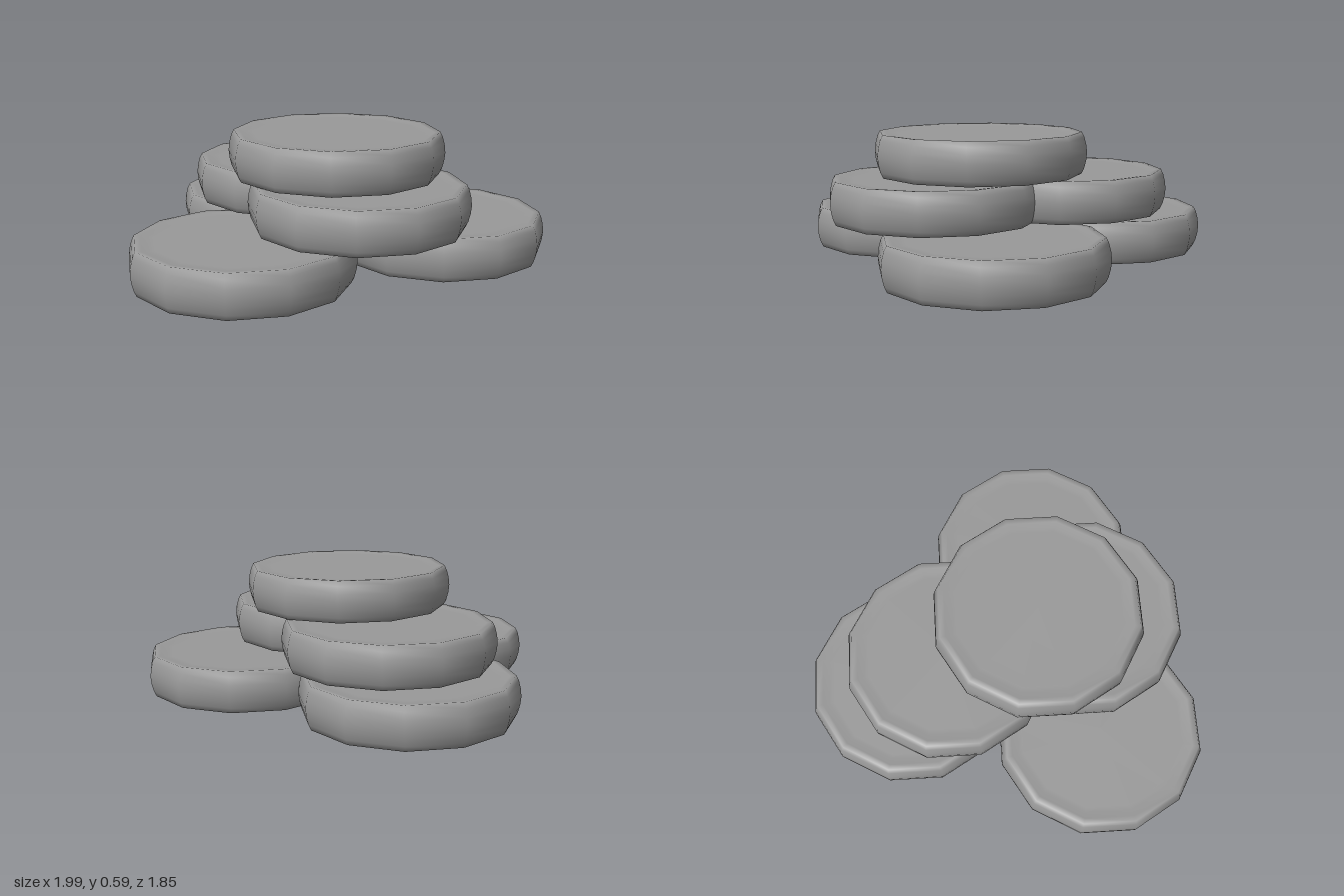
import * as THREE from 'three';

// Twelve-sided rounded disc with slightly dished faces, standing on y = 0
function discGeometry(height) {
  const half = [
    [0, 0.008], [0.39, 0.008], [0.415, 0.007], [0.445, 0.003], [0.472, 0],
    [0.484, 0.025], [0.493, 0.06],
  ];
  const bottom = half.map(([r, y]) => new THREE.Vector2(r, y));
  const middle = new THREE.Vector2(0.497, height / 2);
  const top = half.map(([r, y]) => new THREE.Vector2(r, height - y)).reverse();
  return new THREE.LatheGeometry([...bottom, middle, ...top], 12);
}

export function createModel() {
  const model = new THREE.Group();
  model.name = 'discPile';
  const grey = new THREE.MeshStandardMaterial({ color: 0x999999 });
  grey.name = 'grey';
  const geometry = discGeometry(0.194);

  // Three discs on the ground, two overlapping above them, one on top
  const discs = [
    ['lowerRightDisc', -0.5, 0, 0.35],
    ['lowerLeftDisc', 0.5, 0, 0.35],
    ['lowerBackDisc', 0.03, 0, -0.435],
    ['middleBackDisc', 0.03, 0.2, -0.235],
    ['middleFrontDisc', 0.03, 0.2, 0.425],
    ['topDisc', 0.03, 0.397, 0.205],
  ];
  for (const [name, x, y, z] of discs) {
    const disc = new THREE.Mesh(geometry, grey);
    disc.name = name;
    disc.position.set(x, y, z);
    model.add(disc);
  }
  return model;
}
